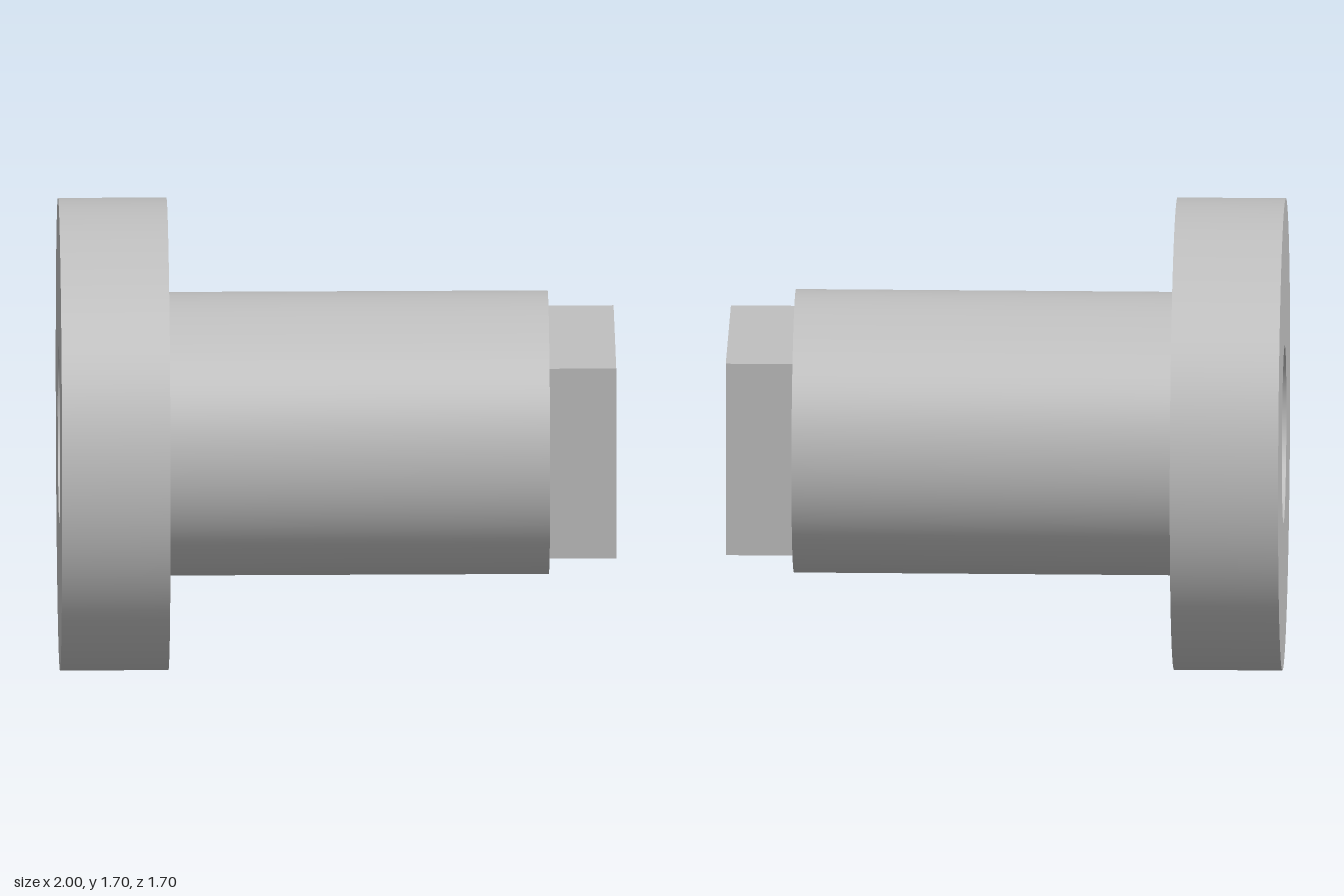
import * as THREE from 'three';
import { mergeGeometries } from 'three/addons/utils/BufferGeometryUtils.js';

const AXIS_Y = 0.85;
const SEGMENTS = 96;

// Revolves each profile segment on its own, so edges between them stay sharp.
// Points are [radius, x]; the solid lies left of the direction of travel.
function turned(points) {
  const parts = [];
  for (let i = 0; i < points.length - 1; i++) {
    const pair = [points[i], points[i + 1]].map(([r, x]) => new THREE.Vector2(r, x));
    parts.push(new THREE.LatheGeometry(pair, SEGMENTS));
  }
  return mergeGeometries(parts).rotateZ(-Math.PI / 2);
}

export function createModel() {
  const group = new THREE.Group();
  group.name = 'flangedShaft';
  const steel = new THREE.MeshStandardMaterial({ color: 0xbfbfbf });
  steel.name = 'grey steel';

  const add = (name, geometry) => {
    const mesh = new THREE.Mesh(geometry, steel);
    mesh.name = name;
    mesh.position.y = AXIS_Y;
    group.add(mesh);
  };

  // Wide disc with an open centre
  add('flange', turned([[0.32, -1], [0.85, -1], [0.85, -0.61], [0.51, -0.61]]));

  // Round body and its end shoulder
  add('shaft', turned([[0.51, -0.61], [0.51, 0.76], [0.185, 0.76]]));

  // Square drive end with a round opening
  const h = 0.36;
  const square = new THREE.Shape([
    new THREE.Vector2(-h, -h), new THREE.Vector2(h, -h),
    new THREE.Vector2(h, h), new THREE.Vector2(-h, h),
  ]);
  square.holes.push(new THREE.Path().absarc(0, 0, 0.185, 0, Math.PI * 2, true));
  const end = new THREE.ExtrudeGeometry(square, { depth: 0.24, bevelEnabled: false, curveSegments: SEGMENTS });
  add('squareEnd', end.rotateY(Math.PI / 2).translate(0.76, 0, 0));

  // Through bore: countersunk mouth, narrow passage, wide recess in the flange
  add('bore', turned([[0.185, 1], [0.147, 0.85], [0.135, -0.66], [0.32, -0.66], [0.32, -1]].map(([r, x]) => [r, x])));

  return group;
}
